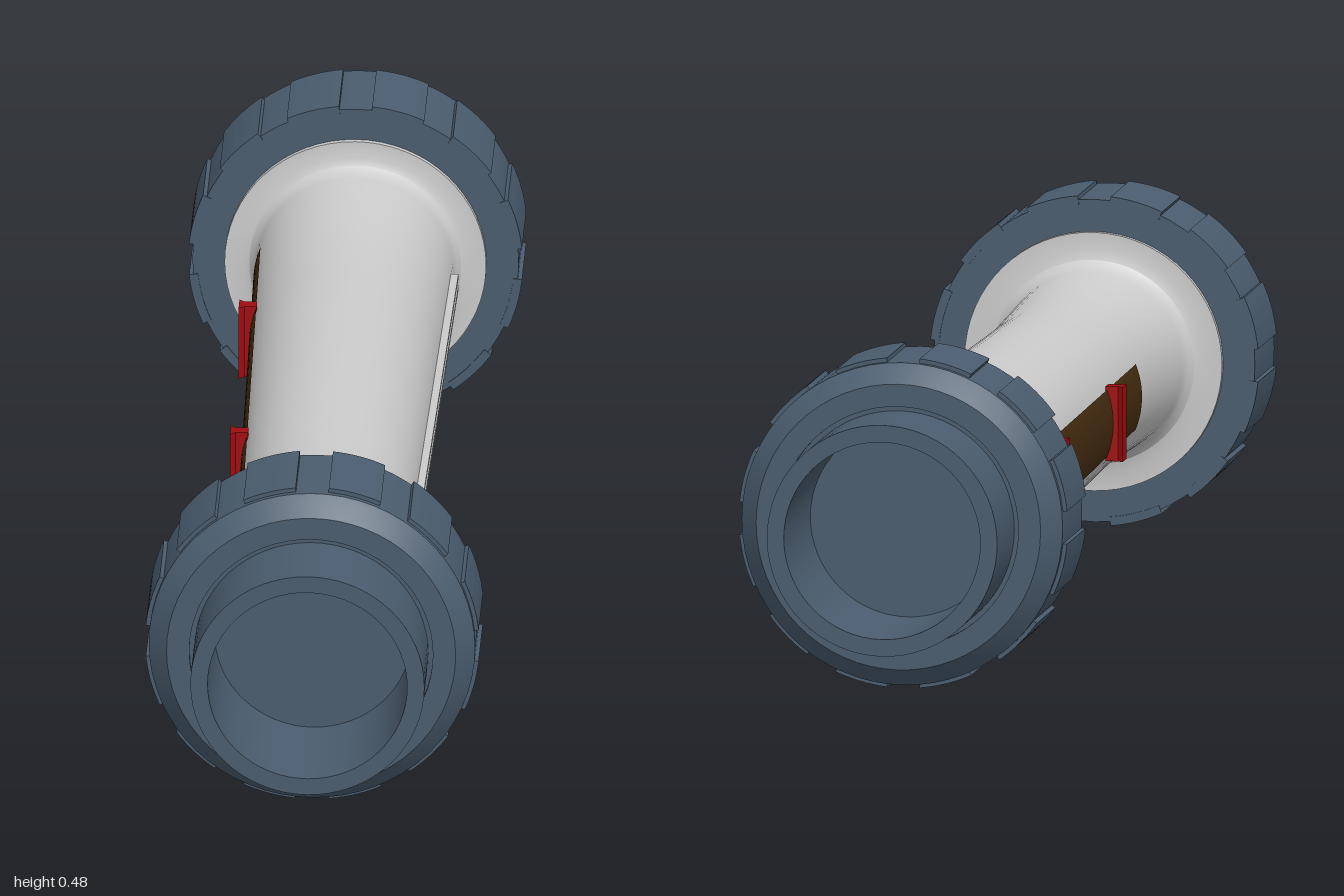
import * as THREE from 'three';
import { toCreasedNormals } from 'three/addons/utils/BufferGeometryUtils.js';

const grey = new THREE.MeshStandardMaterial({ color: 0xcccccc });
const slate = new THREE.MeshStandardMaterial({ color: 0x4a5d6f });
const brown = new THREE.MeshStandardMaterial({ color: 0x452c10, side: THREE.DoubleSide });
const red = new THREE.MeshStandardMaterial({ color: 0xa00c10 });
const AXIS = 0.243;

function part(name, geometry, material, parent) {
  const mesh = new THREE.Mesh(geometry, material);
  mesh.name = name;
  parent.add(mesh);
  return mesh;
}

// Revolve [radius, z] points around the z axis
function turned(points, segments = 64) {
  const g = new THREE.LatheGeometry(points.map(([r, z]) => new THREE.Vector2(r, z)), segments);
  g.rotateX(Math.PI / 2);
  return toCreasedNormals(g, 0.45);
}

// Radius of the tapered tube between the flanges
const tubeRadius = z => (z < 0.37 ? 0.127 + (0.37 - z) * 0.0165 : 0.127 + (z - 0.37) * 0.032);

// Socket pipe, union nut and grips for one end, facing +z
function buildCoupling(name) {
  const end = new THREE.Group();
  end.name = name;

  part('socketPipe', turned([
    [0.17, 0.69], [0.17, 1], [0.145, 1], [0.143, 0.8], [0, 0.8],
  ]), slate, end);

  part('unionNut', turned([
    [0.17, 0.686], [0.237, 0.686], [0.237, 0.84], [0.232, 0.846],
    [0.21, 0.87], [0.177, 0.87], [0.177, 0.864], [0.165, 0.864],
  ]), slate, end);

  // Raised grip panels around the nut
  const count = 12, half = Math.PI / count * 0.62;
  const sector = new THREE.Shape();
  sector.absarc(0, 0, 0.243, -half, half, false);
  sector.absarc(0, 0, 0.23, half, -half, true);
  const grip = toCreasedNormals(new THREE.ExtrudeGeometry(sector, {
    depth: 0.147, bevelEnabled: false, curveSegments: 6,
  }), 0.45);
  for (let i = 0; i < count; i++) {
    const m = part('nutGrip', grip, slate, end);
    m.position.z = 0.684;
    m.rotation.z = (i + 0.5) * Math.PI * 2 / count;
  }
  return end;
}

export function createModel() {
  const model = new THREE.Group();
  model.name = 'flowMeter';
  const body = new THREE.Group();
  body.name = 'meterBody';
  body.position.y = AXIS;
  model.add(body);

  // Tapered measuring tube with flared flanges
  const profile = [[0, -0.69], [0.19, -0.69], [0.19, -0.677], [0.164, -0.677], [0.154, -0.673], [0.148, -0.665]];
  for (const z of [-0.65, -0.3, 0.05, 0.3, 0.37, 0.45, 0.65]) profile.push([tubeRadius(z), z]);
  profile.push([0.142, 0.665], [0.15, 0.673], [0.164, 0.677], [0.19, 0.677], [0.19, 0.69], [0, 0.69]);
  part('measuringTube', turned(profile), grey, body);

  // Couplings at both ends
  body.add(buildCoupling('frontCoupling'));
  const back = buildCoupling('backCoupling');
  back.rotation.y = Math.PI;
  body.add(back);

  // Pair of slim guide rails along the +x side
  const z0 = -0.6, z1 = 0.37;
  const slope = Math.atan2(tubeRadius(z1) - tubeRadius(z0), z1 - z0);
  for (const side of [-1, 1]) {
    const rail = part('guideRail', new THREE.BoxGeometry(0.018, 0.007, z1 - z0), grey, body);
    rail.position.set((tubeRadius(z0) + tubeRadius(z1)) / 2 + 0.001, 0.004 + side * 0.009, (z0 + z1) / 2);
    rail.rotation.y = slope;
  }

  // Curved scale plate hugging the -x side
  const span = 0.76;
  const plate = new THREE.CylinderGeometry(
    tubeRadius(z1) + 0.002, tubeRadius(z0) + 0.002, z1 - z0, 16, 1, true, -Math.PI / 2 - span / 2, span);
  plate.rotateX(Math.PI / 2);
  part('scalePlate', plate, brown, body).position.z = (z0 + z1) / 2;

  // Sliding limit markers, wider on the outside
  const wedge = new THREE.Shape([[0.012, -0.01], [0.012, 0.01], [-0.006, 0.01], [-0.014, 0.017],
    [-0.014, -0.017], [-0.006, -0.01]].map(([x, y]) => new THREE.Vector2(x, y)));
  const marker = new THREE.ExtrudeGeometry(wedge, { depth: 0.11, bevelEnabled: false });
  marker.translate(0, 0, -0.055);
  marker.rotateX(Math.PI / 2);
  for (const z of [-0.37, 0.13]) {
    part('limitMarker', marker, red, body).position.set(-tubeRadius(z) - 0.003, 0, z);
  }
  return model;
}
